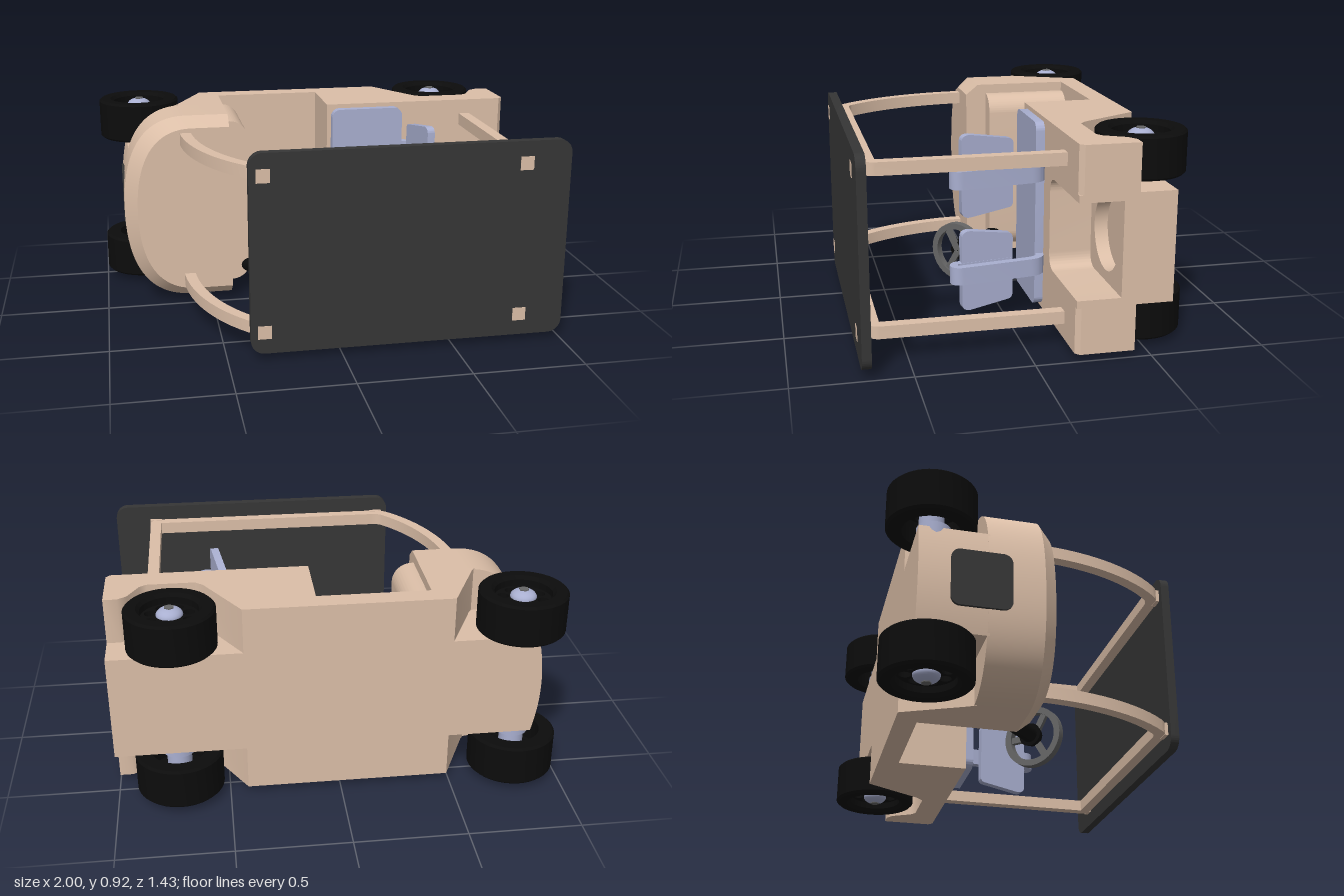
import * as THREE from 'three';
import { toCreasedNormals } from 'three/addons/utils/BufferGeometryUtils.js';

const paint = (color) => new THREE.MeshStandardMaterial({ color });
const TAN = paint(0xdcbfa8), DARK = paint(0x363636), BLACK = paint(0x0c0c0c);
const BLUE = paint(0xa9afd0), GREY = paint(0x666666);
const HALF = 0.445, CORE = 0.24;

const poly = (pts) => new THREE.Shape(pts.map(([x, y]) => new THREE.Vector2(x, y)));
const circle = (x, y, r) => new THREE.Path().absarc(x, y, r, 0, Math.PI * 2, true);
const crease = (g) => toCreasedNormals(g, 0.6);

function extrude(shape, depth, steps = 1) {
  return new THREE.ExtrudeGeometry(shape, { depth, steps, bevelEnabled: false, curveSegments: 20 });
}
// Side profile (x, height) extruded across the cart from z0 to z1
const across = (shape, z0, z1) => crease(extrude(shape, z1 - z0).translate(0, 0, z0));
// Plan outline (x, side) extruded upward from y0 to y1
const upward = (shape, y0, y1, steps) =>
  extrude(shape, y1 - y0, steps).rotateX(-Math.PI / 2).translate(0, y0, 0);

function roundRect(x0, x1, h, r) {
  const s = new THREE.Shape();
  s.absarc(x1 - r, h - r, r, 0, Math.PI / 2);
  s.absarc(x0 + r, h - r, r, Math.PI / 2, Math.PI);
  s.absarc(x0 + r, r - h, r, Math.PI, Math.PI * 1.5);
  s.absarc(x1 - r, r - h, r, Math.PI * 1.5, Math.PI * 2);
  return s;
}
// Strip of constant thickness following a path
function strip(path, t) {
  const p = path.getPoints(12).filter((v, i, a) => !i || v.distanceTo(a[i - 1]) > 1e-4);
  const side = (sign) => p.map((v, i) => {
    const a = p[Math.max(i - 1, 0)], b = p[Math.min(i + 1, p.length - 1)];
    const d = b.clone().sub(a).normalize();
    return new THREE.Vector2(v.x - d.y * t * sign / 2, v.y + d.x * t * sign / 2);
  });
  return new THREE.Shape([...side(-1), ...side(1).reverse()]);
}

export function createModel() {
  const root = new THREE.Group();
  // The cart is modelled upright (y up, z across), then laid on its side
  const cart = new THREE.Group();
  cart.name = 'cart';
  cart.rotation.x = Math.PI / 2;
  cart.position.y = 0.475;
  root.add(cart);
  const add = (name, geo, mat, x = 0, y = 0, z = 0, parent = cart) => {
    const m = new THREE.Mesh(geo, mat);
    m.name = name;
    m.position.set(x, y, z);
    parent.add(m);
    return m;
  };

  // Body sides with wheel arches
  const sideShape = poly([[-0.49, -0.585], [0.42, -0.585], [0.575, -0.32], [0.61, -0.29], [0.82, -0.29],
    [0.85, -0.31], [0.9, -0.4], [0.94, -0.425], [1, -0.425], [1, -0.19], [0.98, -0.17], [0.1, -0.17],
    [0.1, -0.49], [-0.4, -0.49], [-0.4, -0.28], [-0.64, -0.28], [-0.62, -0.31]]);
  add('bodySide', across(sideShape, CORE, HALF), TAN);
  add('bodySide', across(sideShape, -HALF, -CORE), TAN);

  // Narrow chassis between the wheels
  add('chassis', across(poly([[-0.5, -0.585], [1, -0.585], [1, -0.42], [0.1, -0.42], [0.1, -0.49],
    [-0.4, -0.49], [-0.4, -0.28], [-0.5, -0.28]]), -CORE, CORE), TAN);
  const nose = poly([[-0.45, -CORE], [-0.45, CORE], [-0.868, CORE]]);
  nose.quadraticCurveTo(-0.93, 0, -0.868, -CORE);
  add('noseCore', crease(upward(nose, -0.585, -0.28)), TAN);

  // Cargo well: U-shaped wall and floor with a round recess
  const bed = poly([[0.1, -CORE], [1, -CORE], [1, -0.207]]);
  bed.lineTo(0.64, -0.207);
  bed.quadraticCurveTo(0.57, -0.207, 0.57, -0.137);
  bed.lineTo(0.57, 0.137);
  bed.quadraticCurveTo(0.57, 0.207, 0.64, 0.207);
  bed.lineTo(1, 0.207);
  bed.lineTo(1, CORE);
  bed.lineTo(0.1, CORE);
  add('cargoWall', crease(upward(bed, -0.42, -0.17)), TAN);
  const floor = poly([[0.5, -0.23], [1, -0.23], [1, 0.23], [0.5, 0.23]]);
  floor.holes.push(circle(0.78, 0, 0.16));
  add('cargoFloor', crease(upward(floor, -0.42, -0.36)), TAN);

  // Hood with a sloped rim: middle ring raised, top ring drawn inward
  const hood = poly([[-0.4, -HALF], [-0.4, HALF], [-0.6, HALF]]);
  hood.bezierCurveTo(-0.81, HALF, -0.9, 0.27, -0.9, 0);
  hood.bezierCurveTo(-0.9, -0.27, -0.81, -HALF, -0.6, -HALF);
  const hoodGeo = upward(hood, -0.29, 0.01, 2);
  const pos = hoodGeo.attributes.position;
  for (let i = 0; i < pos.count; i++) {
    const y = pos.getY(i);
    if (y > 0) pos.setXYZ(i, -0.4 + (pos.getX(i) + 0.4) * 0.88, y, pos.getZ(i) * 0.89);
    else if (y > -0.2) pos.setY(i, -0.05);
  }
  add('hood', crease(hoodGeo), TAN);
  add('frontPanel', crease(extrude(roundRect(-0.13, 0.13, 0.13, 0.04), 0.02)
    .rotateY(-Math.PI / 2)), DARK, -0.882, -0.32, 0);
  add('dashboard', crease(upward(roundRect(-0.5, -0.3, 0.4, 0.09), -0.49, -0.09)), TAN);

  // Steering column and wheel
  const steering = new THREE.Group();
  steering.name = 'steering';
  steering.position.set(-0.085, 0.115, 0.33);
  steering.rotation.z = -Math.PI / 4;
  cart.add(steering);
  add('column', new THREE.CylinderGeometry(0.038, 0.038, 0.42, 24), BLACK, 0, -0.23, 0, steering);
  add('steeringHub', new THREE.CylinderGeometry(0.045, 0.055, 0.04, 24), BLACK, 0, -0.02, 0, steering);
  const rim = new THREE.Shape().absarc(0, 0, 0.145, 0, Math.PI * 2);
  rim.holes.push(circle(0, 0, 0.115));
  add('steeringRim', crease(upward(rim, -0.018, 0.018)), GREY, 0, 0, 0, steering);
  for (let i = 0; i < 3; i++) {
    const a = i * Math.PI * 2 / 3;
    const spoke = add('steeringSpoke', new THREE.BoxGeometry(0.12, 0.02, 0.03), GREY,
      Math.cos(a) * 0.065, 0, -Math.sin(a) * 0.065, steering);
    spoke.rotation.y = a;
  }

  // Bench cushion and two backrests on bent straps
  add('seatCushion', crease(upward(roundRect(0.12, 0.47, 0.425, 0.04), -0.17, -0.13)), BLUE);
  const bend = new THREE.Path().moveTo(0.4, -0.15).lineTo(0.47, -0.15);
  bend.quadraticCurveTo(0.52, -0.15, 0.53, -0.09).lineTo(0.578, 0.22);
  bend.bezierCurveTo(0.588, 0.265, 0.525, 0.27, 0.52, 0.22).lineTo(0.482, -0.018);
  const strap = strip(bend, 0.036);
  const back = new THREE.Shape().moveTo(-0.13, -0.12).lineTo(0.13, -0.12);
  back.quadraticCurveTo(0.153, -0.12, 0.156, -0.1).lineTo(0.184, 0.08);
  back.quadraticCurveTo(0.186, 0.12, 0.15, 0.12).lineTo(-0.15, 0.12);
  back.quadraticCurveTo(-0.186, 0.12, -0.184, 0.08).lineTo(-0.156, -0.1);
  back.quadraticCurveTo(-0.153, -0.12, -0.13, -0.12);
  for (const z of [-0.215, 0.215]) {
    add('seatStrap', across(strap, z - 0.04, z + 0.04), BLUE);
    const rest = add('backrest', crease(extrude(back, 0.036).translate(0, 0, -0.018)
      .rotateY(Math.PI / 2)), BLUE, 0.499, 0.1, z);
    rest.rotation.z = -0.157;
  }

  // Canopy frames: curved front strut, top rail and rear post
  const frame = new THREE.Path().moveTo(-0.605, -0.06).lineTo(-0.605, 0);
  frame.bezierCurveTo(-0.6, 0.25, -0.51, 0.47, -0.385, 0.61);
  frame.quadraticCurveTo(-0.36, 0.64, -0.31, 0.64).lineTo(0.77, 0.64);
  frame.quadraticCurveTo(0.8, 0.64, 0.8, 0.61).lineTo(0.8, -0.2);
  const frameShape = strip(frame, 0.052);
  for (const z of [-0.347, 0.347]) {
    add('canopyFrame', across(frameShape, z - 0.028, z + 0.028), TAN);
    for (const x of [-0.34, 0.8])
      add('roofPeg', new THREE.BoxGeometry(0.06, 0.06, 0.06), TAN, x, 0.682, z);
  }
  add('roof', crease(upward(roundRect(-0.4, 1, HALF, 0.06), 0.67, 0.71)), DARK);

  // Wheels: tyre ring, pierced disc and domed hub on a shared axle
  const tyre = new THREE.LatheGeometry([[0.125, -0.095], [0.185, -0.095], [0.195, -0.085], [0.195, 0.085],
    [0.185, 0.095], [0.14, 0.095], [0.125, 0.08], [0.125, -0.095]]
    .map(([r, y]) => new THREE.Vector2(r, y)), 48).rotateX(Math.PI / 2);
  const disc = new THREE.Shape().absarc(0, 0, 0.13, 0, Math.PI * 2);
  for (let i = 0; i < 8; i++) {
    const a = (i + 0.5) * Math.PI / 4;
    disc.holes.push(circle(Math.cos(a) * 0.088, Math.sin(a) * 0.088, 0.026));
  }
  const discGeo = across(disc, 0.02, 0.05);
  const dome = new THREE.SphereGeometry(0.058, 24, 8, 0, Math.PI * 2, 0, Math.PI / 2)
    .scale(1, 0.6, 1).rotateX(Math.PI / 2);
  for (const x of [-0.8, 0.72]) {
    add('axle', new THREE.CylinderGeometry(0.055, 0.055, 0.76, 24).rotateX(Math.PI / 2), BLUE, x, -0.52, 0);
    add('axleCollar', new THREE.CylinderGeometry(0.075, 0.075, 0.53, 24).rotateX(Math.PI / 2), BLUE, x, -0.51, 0);
    for (const s of [-1, 1]) {
      const wheel = new THREE.Group();
      wheel.name = 'wheel';
      wheel.position.set(x, -0.52, s * 0.35);
      if (s < 0) wheel.rotation.y = Math.PI;
      cart.add(wheel);
      add('tyre', crease(tyre), BLACK, 0, 0, 0, wheel);
      add('wheelDisc', discGeo, BLACK, 0, 0, 0, wheel);
      add('hub', dome, BLUE, 0, 0, 0.058, wheel);
      add('hubBolt', new THREE.CylinderGeometry(0.022, 0.022, 0.01, 6).rotateX(Math.PI / 2), GREY, 0, 0, 0.09, wheel);
    }
  }
  return root;
}
